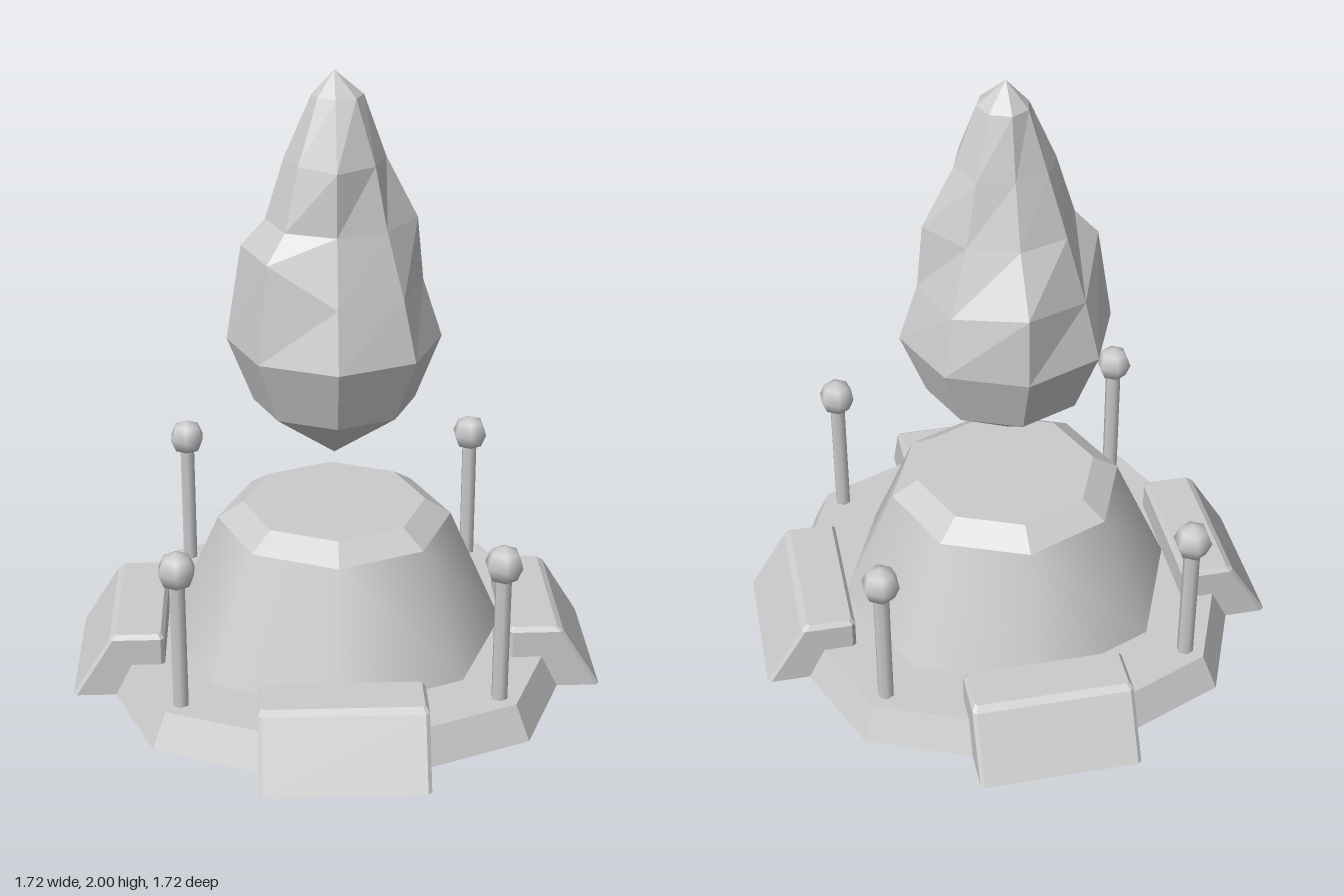
import * as THREE from 'three';

const flat = new THREE.MeshStandardMaterial({ color: 0xcccccc, flatShading: true, side: THREE.DoubleSide });
const smooth = new THREE.MeshStandardMaterial({ color: 0xcccccc, side: THREE.DoubleSide });

function add(parent, name, geometry, material) {
  const mesh = new THREE.Mesh(geometry, material);
  mesh.name = name;
  parent.add(mesh);
  return mesh;
}

// Skin stacked loops of points (bottom to top, counter-clockwise from above)
function loft(rings) {
  const pos = [];
  const tri = (a, b, c) => {
    if (a.distanceTo(b) > 1e-6 && b.distanceTo(c) > 1e-6 && c.distanceTo(a) > 1e-6)
      for (const p of [a, b, c]) pos.push(p.x, p.y, p.z);
  };
  for (let j = 0; j < rings.length - 1; j++) {
    const lo = rings[j], hi = rings[j + 1], n = lo.length;
    for (let i = 0; i < n; i++) {
      const k = (i + 1) % n;
      tri(lo[i], lo[k], hi[k]);
      tri(lo[i], hi[k], hi[i]);
    }
  }
  const g = new THREE.BufferGeometry();
  g.setAttribute('position', new THREE.Float32BufferAttribute(pos, 3));
  g.computeVertexNormals();
  return g;
}

// Eight-sided ring; radii and heights may vary per direction, starting at +z
function octRing(r, y) {
  return Array.from({ length: 8 }, (_, i) => {
    const a = i * Math.PI / 4;
    const ri = Array.isArray(r) ? r[i] : r;
    const yi = Array.isArray(y) ? y[i] : y;
    return new THREE.Vector3(Math.sin(a) * ri, yi, Math.cos(a) * ri);
  });
}

// Rectangle with clipped corners at height y
function footRing(y, zIn, zOut, w, c) {
  return [
    [w - c, zOut], [w, zOut - c], [w, zIn + c], [w - c, zIn],
    [c - w, zIn], [-w, zIn + c], [-w, zOut - c], [c - w, zOut],
  ].map(([x, z]) => new THREE.Vector3(x, y, z));
}

export function createModel() {
  const model = new THREE.Group();

  // Hollow base plate: sloping rim and flat deck
  add(model, 'baseRim', loft([octRing(0.83, 0), octRing(0.775, 0.11)]), flat);
  add(model, 'baseDeck', loft([octRing(0.775, 0.11), octRing(0.56, 0.11)]), flat);

  // Hollow pedestal: smooth side, bevelled edge and flat top
  const side = [new THREE.Vector2(0.56, 0.11), new THREE.Vector2(0.385, 0.51)];
  add(model, 'pedestalSide', new THREE.LatheGeometry(side, 8), smooth);
  add(model, 'pedestalTop', loft([octRing(0.385, 0.51), octRing(0.3, 0.565), octRing(0, 0.565)]), flat);

  // Four wedge feet, open underneath
  const footGeometry = loft([
    footRing(0, 0.56, 0.862, 0.26, 0.012),
    footRing(0.2, 0.56, 0.738, 0.26, 0.012),
    footRing(0.215, 0.572, 0.716, 0.248, 0.008),
    Array(8).fill(new THREE.Vector3(0, 0.215, 0.645)),
  ]);
  // Four posts with ball tips on the diagonals
  const postGeometry = new THREE.CylinderGeometry(0.027, 0.027, 0.46, 6);
  const ballGeometry = new THREE.SphereGeometry(0.063, 6, 4).rotateY(Math.PI / 2);
  for (let i = 0; i < 4; i++) {
    add(model, 'foot', footGeometry, flat).rotation.y = i * Math.PI / 2;

    const post = new THREE.Group();
    post.name = 'post';
    post.position.set(i % 2 ? 0.5 : -0.5, 0, i < 2 ? 0.5 : -0.5);
    add(post, 'postRod', postGeometry, smooth).position.y = 0.33;
    add(post, 'postBall', ballGeometry, smooth).position.y = 0.578;
    model.add(post);
  }

  // Floating irregular crystal
  add(model, 'crystal', loft([
    octRing(0, 0.74),
    octRing(0.26, 0.93),
    octRing(0.342, 1.14),
    octRing([0.285, 0.29, 0.28, 0.3, 0.335, 0.29, 0.292, 0.3], [1.33, 1.33, 1.33, 1.33, 1.37, 1.33, 1.45, 1.45]),
    octRing([0.215, 0.22, 0.26, 0.215, 0.21, 0.22, 0.215, 0.22], 1.535),
    octRing([0.205, 0.17, 0.16, 0.16, 0.14, 0.15, 0.155, 0.16], 1.73),
    octRing([0.08, 0.09, 0.09, 0.09, 0.09, 0.08, 0.07, 0.075], 1.925),
    octRing(0, 2),
  ]), flat);

  return model;
}
